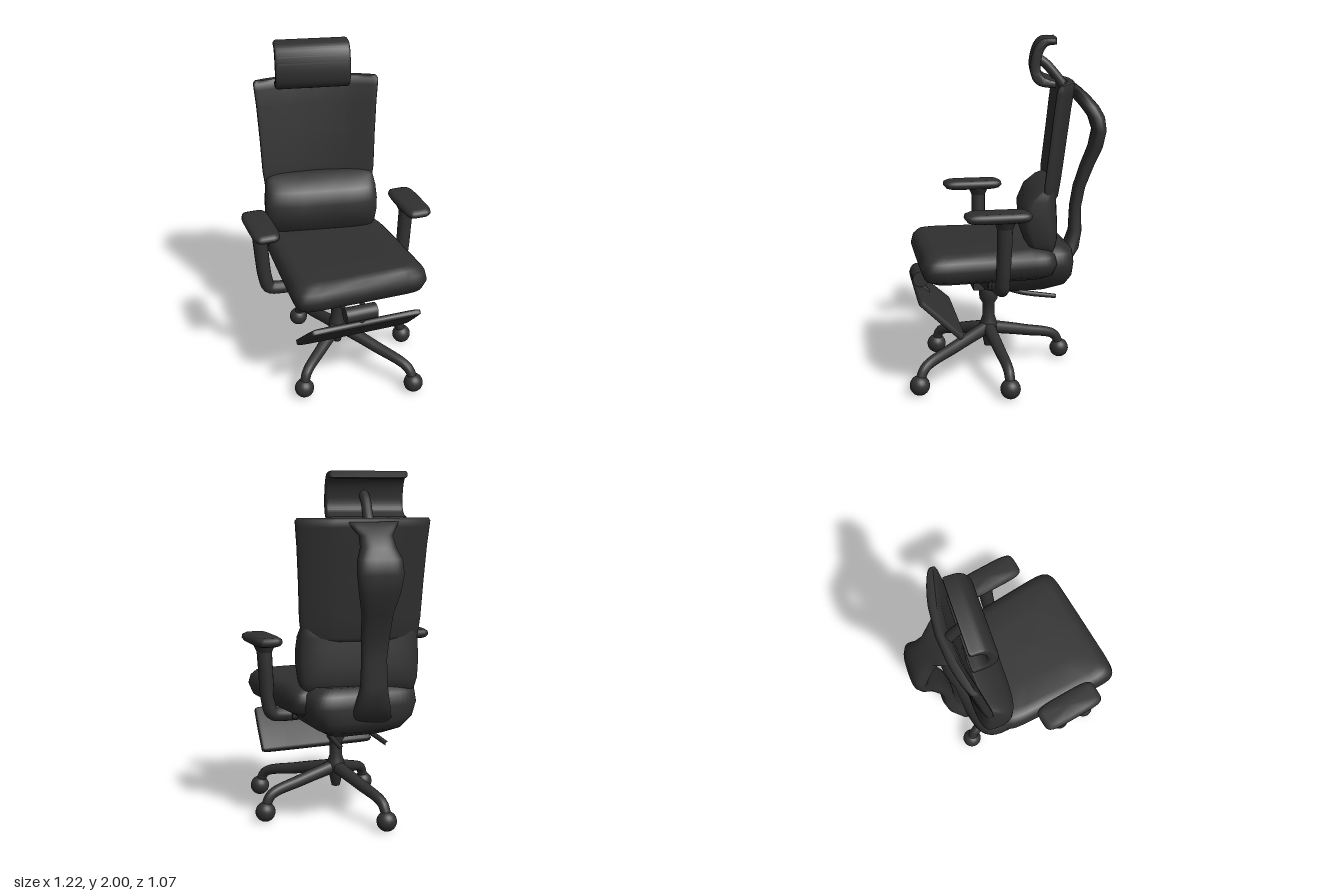
import * as THREE from 'three';
import { toCreasedNormals } from 'three/addons/utils/BufferGeometryUtils.js';

const charcoal = new THREE.MeshStandardMaterial({ color: 0x303030 });
charcoal.name = 'charcoal';

function add(parent, name, geometry, x = 0, y = 0, z = 0) {
  const mesh = new THREE.Mesh(geometry, charcoal);
  mesh.name = name;
  mesh.position.set(x, y, z);
  parent.add(mesh);
  return mesh;
}

// Group that is swivelled about the vertical axis.
function swivel(parent, name, degrees) {
  const group = new THREE.Group();
  group.name = name;
  group.rotation.y = THREE.MathUtils.degToRad(degrees);
  parent.add(group);
  return group;
}

// Stacks rounded cross-sections upward. Row: [y, z, halfWidth, halfDepth].
// e: 1 = ellipse, smaller = boxier; bend moves the sides forward; taper widens the front.
function loft(rows, { e = 0.5, bend = 0, taper = 0, sides = 48 } = {}) {
  const pos = [], idx = [], n = rows.length;
  const pow = (v) => Math.sign(v) * Math.abs(v) ** e;
  const maxW = Math.max(...rows.map((r) => r[2]));
  for (const [y, z, hw, hd] of rows) {
    for (let i = 0; i < sides; i++) {
      const t = (i / sides) * Math.PI * 2, s = pow(Math.sin(t));
      const x = hw * pow(Math.cos(t)) * (1 + taper * s);
      pos.push(x, y, z + hd * s + bend * (x / maxW) ** 2);
    }
  }
  for (let r = 0; r < n - 1; r++) {
    for (let i = 0; i < sides; i++) {
      const a = r * sides + i, b = r * sides + (i + 1) % sides;
      idx.push(a, a + sides, b, b, a + sides, b + sides);
    }
  }
  const last = (n - 1) * sides;
  pos.push(0, rows[0][0], rows[0][1], 0, rows[n - 1][0], rows[n - 1][1]);
  for (let i = 0; i < sides; i++) {
    const j = (i + 1) % sides;
    idx.push(n * sides, i, j, n * sides + 1, last + j, last + i);
  }
  const g = new THREE.BufferGeometry();
  g.setAttribute('position', new THREE.Float32BufferAttribute(pos, 3));
  g.setIndex(idx);
  g.computeVertexNormals();
  return g;
}

// Tube through points, tapering from radius r0 to r1.
function taperedTube(points, r0, r1, steps = 24, sides = 14) {
  const curve = new THREE.CatmullRomCurve3(points.map((p) => new THREE.Vector3(...p)));
  const g = new THREE.TubeGeometry(curve, steps, 1, sides);
  const p = g.attributes.position, v = new THREE.Vector3();
  for (let i = 0; i < p.count; i++) {
    const t = Math.floor(i / (sides + 1)) / steps, c = curve.getPointAt(t);
    v.fromBufferAttribute(p, i).sub(c).multiplyScalar(r0 + (r1 - r0) * t).add(c);
    p.setXYZ(i, v.x, v.y, v.z);
  }
  return g;
}

// Column, hub, four legs and ball casters.
function makeBase() {
  const base = new THREE.Group();
  base.name = 'base';
  const profile = [[0, 0.14], [0.025, 0.15], [0.04, 0.22], [0.055, 0.26], [0.05, 0.3], [0.037, 0.34],
    [0.037, 0.42], [0.055, 0.45], [0.058, 0.5], [0.05, 0.56], [0, 0.57]];
  add(base, 'column', new THREE.LatheGeometry(profile.map((p) => new THREE.Vector2(...p)), 24), -0.005, 0, -0.02);
  for (const [x, z] of [[0.555, 0.01], [0.02, 0.4], [-0.44, -0.23], [0.25, -0.41]]) {
    const at = (f, y) => [x * f, y, -0.02 + (z + 0.02) * f];
    add(base, 'leg', taperedTube([at(0, 0.27), at(0.5, 0.212), at(0.92, 0.152), at(1, 0.08)], 0.04, 0.028));
    add(base, 'caster', new THREE.SphereGeometry(0.058, 20, 14), x, 0.058, z);
  }
  return base;
}

function makeSeat(chair) {
  add(chair, 'seatCushion', loft([
    [0.645, 0.03, 0.25, 0.26], [0.655, 0.03, 0.33, 0.33], [0.68, 0.03, 0.375, 0.372], [0.74, 0.03, 0.396, 0.394],
    [0.79, 0.03, 0.385, 0.382], [0.82, 0.03, 0.358, 0.355], [0.833, 0.03, 0.315, 0.31], [0.835, 0.03, 0.18, 0.18],
  ], { e: 0.22, taper: 0.05 }), 0.03);
  add(chair, 'seatShell', loft([
    [0.53, -0.14, 0.12, 0.13], [0.54, -0.17, 0.18, 0.2], [0.58, -0.2, 0.25, 0.26], [0.64, -0.21, 0.31, 0.275],
    [0.72, -0.21, 0.335, 0.28], [0.79, -0.21, 0.325, 0.27], [0.83, -0.2, 0.28, 0.23],
  ], { e: 0.42 }), 0.005);
  // Tilt mechanism and levers
  add(chair, 'mechanism', new THREE.BoxGeometry(0.2, 0.09, 0.26), 0.01, 0.575, -0.04);
  add(chair, 'crossBar', new THREE.BoxGeometry(0.6, 0.045, 0.1), 0.005, 0.62, -0.02);
  for (const s of [-1, 1]) {
    add(chair, 'lever', taperedTube([[s * 0.08, 0.55, -0.06], [s * 0.12, 0.51, -0.2], [s * 0.14, 0.48, -0.4]], 0.018, 0.013));
  }
}

function makeBack(back) {
  add(back, 'backPanel', loft([
    [1.08, -0.405, 0.315, 0.015], [1.1, -0.405, 0.33, 0.028], [1.2, -0.415, 0.342, 0.034], [1.4, -0.44, 0.35, 0.034],
    [1.6, -0.465, 0.361, 0.034], [1.7, -0.48, 0.37, 0.034], [1.735, -0.487, 0.373, 0.03], [1.75, -0.49, 0.363, 0.015],
  ], { e: 0.4, bend: 0.07 }), -0.056);
  add(back, 'lumbarCushion', loft([
    [0.78, -0.345, 0.28, 0.03], [0.8, -0.335, 0.32, 0.07], [0.86, -0.32, 0.338, 0.1], [0.94, -0.305, 0.345, 0.115],
    [1.02, -0.3, 0.345, 0.115], [1.1, -0.315, 0.338, 0.095], [1.15, -0.345, 0.328, 0.06], [1.175, -0.37, 0.31, 0.02],
  ], { e: 0.5 }), -0.05);
  // Sculpted rear support
  add(back, 'spine', loft([
    [0.6, -0.38, 0.1, 0.05], [0.66, -0.45, 0.12, 0.055], [0.75, -0.51, 0.095, 0.05], [0.85, -0.535, 0.075, 0.04],
    [1.0, -0.535, 0.07, 0.035], [1.12, -0.555, 0.078, 0.036], [1.25, -0.6, 0.085, 0.04], [1.36, -0.645, 0.11, 0.042],
    [1.46, -0.665, 0.125, 0.042], [1.54, -0.645, 0.12, 0.05], [1.6, -0.605, 0.095, 0.055], [1.66, -0.55, 0.09, 0.055],
    [1.7, -0.515, 0.12, 0.045], [1.73, -0.495, 0.14, 0.025],
  ], { e: 0.7 }), -0.09);
  add(back, 'headrestStem', taperedTube([[-0.08, 1.68, -0.48], [-0.08, 1.76, -0.42], [-0.085, 1.84, -0.35], [-0.085, 1.88, -0.295]], 0.03, 0.028));

  // Forward-bulging headrest with thin lips that turn back
  const pts = (list) => list.map((p) => new THREE.Vector2(...p));
  const shape = new THREE.Shape();
  shape.moveTo(-0.385, 1.983);
  shape.splineThru(pts([[-0.325, 1.978], [-0.288, 1.935], [-0.268, 1.85], [-0.278, 1.78], [-0.315, 1.745], [-0.385, 1.735]]));
  shape.lineTo(-0.385, 1.745);
  shape.splineThru(pts([[-0.33, 1.765], [-0.302, 1.8], [-0.296, 1.85], [-0.31, 1.92], [-0.34, 1.965], [-0.385, 1.975]]));
  const geo = new THREE.ExtrudeGeometry(shape, {
    depth: 0.4, curveSegments: 18, bevelThickness: 0.018, bevelSize: 0.015, bevelSegments: 4,
  });
  geo.translate(0, 0, -0.2);
  geo.rotateY(-Math.PI / 2);
  add(back, 'headrest', toCreasedNormals(geo, 0.8), -0.09);
}

function makeArm(side) {
  const arm = new THREE.Group();
  arm.name = side > 0 ? 'leftArm' : 'rightArm';
  add(arm, 'armPad', loft([
    [1.03, 0.008, 0.055, 0.145], [1.038, 0.008, 0.07, 0.17], [1.055, 0.008, 0.08, 0.185], [1.073, 0.008, 0.077, 0.181], [1.085, 0.008, 0.06, 0.155],
  ], { e: 0.42 }), side * 0.462);
  add(arm, 'padMount', new THREE.CylinderGeometry(0.065, 0.042, 0.05, 20), side * 0.46, 1.012, -0.03);
  add(arm, 'armPost', taperedTube([[side * 0.462, 1.02, -0.03], [side * 0.455, 0.9, -0.03], [side * 0.438, 0.7, -0.025],
    [side * 0.415, 0.63, -0.025], [side * 0.34, 0.615, -0.02], [side * 0.2, 0.615, -0.02]], 0.044, 0.038, 36));
  return arm;
}

function makeFootrest(chair) {
  // Slanted plate, tilted forward at the top
  const plate = add(chair, 'footPlate', loft([
    [-0.165, 0, 0.345, 0.014], [-0.155, 0, 0.362, 0.023], [0, 0, 0.35, 0.022], [0.145, 0, 0.335, 0.02], [0.155, 0, 0.32, 0.012],
  ], { e: 0.3 }), 0.04, 0.455, 0.315);
  plate.rotation.x = 0.83;
  const roller = add(chair, 'footRoller', new THREE.CylinderGeometry(0.046, 0.046, 0.19, 24), 0.005, 0.613, 0.4);
  roller.rotation.z = Math.PI / 2;
  for (const s of [-1, 1]) {
    add(chair, 'footrestRail', taperedTube([[s * 0.06, 0.6, 0.05], [s * 0.06, 0.595, 0.25], [s * 0.06, 0.59, 0.39]], 0.014, 0.014));
  }
  add(chair, 'plateBracket', taperedTube([[0.01, 0.6, 0.4], [0.01, 0.56, 0.4], [0.01, 0.5, 0.36]], 0.028, 0.028));
}

export function createModel() {
  const model = new THREE.Group();
  model.name = 'officeChair';
  model.add(makeBase());
  // The seat and back are swivelled on the base
  const chair = swivel(model, 'seatAssembly', 51);
  makeSeat(chair);
  makeFootrest(chair);
  chair.add(makeArm(1), makeArm(-1));
  makeBack(swivel(model, 'backAssembly', 40));
  return model;
}
